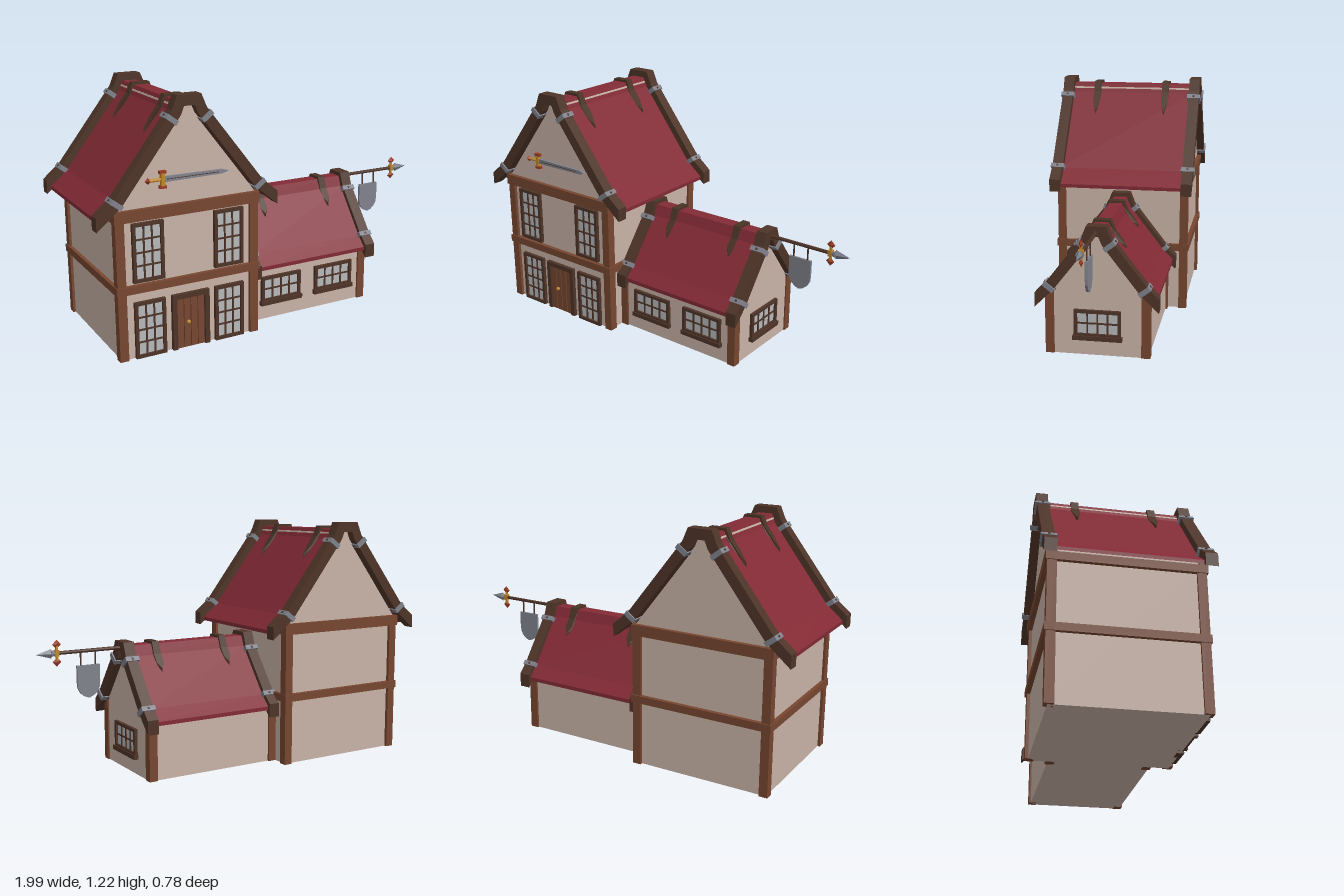
import * as THREE from 'three';

const mat = (color, side = THREE.FrontSide) =>
  new THREE.MeshStandardMaterial({ color, side, flatShading: true });
const WALL = mat(0xc8b2a6), ROOF = mat(0x822a35, THREE.DoubleSide), BEAM = mat(0x774630);
const DARK = mat(0x4e3428), STRAP = mat(0x4a3326, THREE.DoubleSide), METAL = mat(0x80828c);
const GLASS = mat(0xb6b8ba), GOLD = mat(0xc0882c), RED = mat(0x9a3a22);

function add(parent, name, geo, material, x = 0, y = 0, z = 0) {
  const m = new THREE.Mesh(geo, material);
  m.name = name;
  m.position.set(x, y, z);
  parent.add(m);
  return m;
}
const box = (parent, name, material, w, h, d, x, y, z) =>
  add(parent, name, new THREE.BoxGeometry(w, h, d), material, x, y, z);

// Extrusion of a polygon, centred on z
function prism(points, depth) {
  const shape = new THREE.Shape(points.map(p => new THREE.Vector2(p[0], p[1])));
  return new THREE.ExtrudeGeometry(shape, { depth, bevelEnabled: false }).translate(0, 0, -depth / 2);
}
const mirror = half => [...half.map(([x, y]) => [-x, y]).reverse(), ...half];
const lerp = (a, b, t) => [a[0] + (b[0] - a[0]) * t, a[1] + (b[1] - a[1]) * t];

// Move a left-to-right roof line inward by d, mitred at bends, cut vertically at the eaves
function inset(line, d) {
  const normal = (a, b) => {
    const l = Math.hypot(b[0] - a[0], b[1] - a[1]);
    return [(b[1] - a[1]) / l, -(b[0] - a[0]) / l];
  };
  return line.map((p, i) => {
    if (i === 0) return [p[0], p[1] + d / normal(p, line[1])[1]];
    if (i === line.length - 1) return [p[0], p[1] + d / normal(line[i - 1], p)[1]];
    const a = normal(line[i - 1], p), b = normal(p, line[i + 1]);
    const k = d / (1 + a[0] * b[0] + a[1] * b[1]);
    return [p[0] + (a[0] + b[0]) * k, p[1] + (a[1] + b[1]) * k];
  });
}
const band = (line, from, to, depth) =>
  prism([...inset(line, from), ...inset(line, to).reverse()], depth);

// Gabled block facing +z: walls, corner posts, roof, barge boards, clips and ridge straps
function house(name, o) {
  const g = new THREE.Group();
  g.name = name;
  const [A, B, C, D] = o.roof, line = mirror(o.roof);
  add(g, 'walls', prism(mirror([...o.gable].reverse()), o.front + o.back), WALL, 0, 0, (o.front - o.back) / 2);
  for (const s of [-1, 1])
    for (const z of o.postZ) box(g, 'cornerPost', BEAM, 0.043, o.postH, 0.043, s * o.postX, o.postH / 2, z);

  const panel = mirror([A, B, C, lerp(C, D, 0.74)]);
  add(g, 'roof', band(panel, o.drop, o.drop + 0.014, o.boardZ * 2 - 0.02), ROOF);

  const angle = Math.atan2(C[1] - B[1], C[0] - B[0]);
  for (const z of [-o.boardZ, o.boardZ]) {
    add(g, 'bargeBoard', band(line, 0, 0.05, 0.057), DARK, 0, 0, z);
    for (const t of [0.07, 1.02])
      for (const s of [-1, 1]) {
        const p = lerp(B, C, t);
        const clip = new THREE.Group();
        clip.name = 'boardClip';
        clip.position.set(s * (p[0] - 0.019), p[1] - 0.015, z);
        clip.rotation.z = s * angle;
        box(clip, 'clipBand', METAL, 0.024, 0.062, 0.072, 0, 0, 0);
        box(clip, 'clipRivet', DARK, 0.01, 0.068, 0.01, 0, 0, 0);
        g.add(clip);
      }
  }

  // Straps over the ridge, with pointed ends
  const tip = lerp(B, C, o.strapT), neck = lerp(B, C, o.strapT - 0.08);
  const strapLine = mirror([A, B, neck, tip]);
  for (const z of o.strapZ) {
    const geo = band(strapLine, o.drop - 0.012, o.drop + 0.004, 0.038);
    const pos = geo.attributes.position;
    for (let i = 0; i < pos.count; i++)
      if (Math.abs(pos.getX(i)) > tip[0] - 0.002) pos.setZ(i, 0);
    geo.computeVertexNormals();
    add(g, 'ridgeStrap', geo, STRAP, 0, 0, z);
  }
  return g;
}

// Framed window facing +z, standing on its own origin
function makeWindow(name, w, h, cols, rows, sill) {
  const g = new THREE.Group(), f = 0.016;
  g.name = name;
  box(g, 'glass', GLASS, w - f, h - f, 0.014, 0, h / 2, 0);
  for (const s of [-1, 1]) {
    box(g, 'frameSide', DARK, f, h, 0.036, s * (w - f) / 2, h / 2, 0);
    box(g, 'frameRail', DARK, w, f, 0.036, 0, h / 2 + s * (h - f) / 2, 0);
  }
  for (let i = 1; i < cols; i++)
    box(g, 'glazingBar', DARK, 0.008, h - f, 0.024, (w - 2 * f) * (i / cols - 0.5), h / 2, 0);
  for (let j = 1; j < rows; j++)
    box(g, 'glazingBar', DARK, w - f, 0.008, 0.024, 0, h / 2 + (h - 2 * f) * (j / rows - 0.5), 0);
  if (sill) box(g, 'sill', DARK, w + 0.012, 0.022, 0.05, 0, -0.005, 0);
  return g;
}
function place(parent, child, x, y, z, ry = 0) {
  child.position.set(x, y, z);
  child.rotation.y = ry;
  parent.add(child);
}

function makeDoor() {
  const g = new THREE.Group();
  g.name = 'door';
  box(g, 'doorBacking', DARK, 0.18, 0.27, 0.016, 0, 0.135, 0);
  for (const s of [-1, 1]) box(g, 'doorJamb', DARK, 0.024, 0.278, 0.04, s * 0.0845, 0.139, 0);
  box(g, 'doorLintel', DARK, 0.193, 0.024, 0.04, 0, 0.266, 0);
  for (let i = 0; i < 4; i++) box(g, 'doorPlank', BEAM, 0.032, 0.25, 0.024, (i - 1.5) * 0.0362, 0.127, 0);
  add(g, 'doorKnob', new THREE.SphereGeometry(0.01, 10, 8), GOLD, -0.017, 0.133, 0.022);
  return g;
}

function makeSword() {
  const g = new THREE.Group();
  g.name = 'wallSword';
  add(g, 'blade', prism([[0, -0.013], [0.29, -0.01], [0.325, 0], [0.29, 0.01], [0, 0.013]], 0.012), METAL);
  box(g, 'fuller', DARK, 0.26, 0.003, 0.015, 0.14, 0, 0);
  box(g, 'guard', GOLD, 0.018, 0.06, 0.022, -0.009, 0, 0);
  for (const s of [-1, 1]) box(g, 'guardTip', RED, 0.032, 0.014, 0.022, -0.009, s * 0.034, 0);
  add(g, 'grip', new THREE.CylinderGeometry(0.008, 0.008, 0.06, 8).rotateZ(Math.PI / 2), GOLD, -0.045, 0, 0);
  add(g, 'pommel', new THREE.OctahedronGeometry(0.016), RED, -0.079, 0, 0);
  return g;
}

// Spear-shaped pole with a hanging shield sign
function makeSign() {
  const g = new THREE.Group();
  g.name = 'hangingSign';
  add(g, 'pole', new THREE.CylinderGeometry(0.009, 0.009, 0.39, 8).rotateZ(Math.PI / 2), DARK, 0.725, 0.62, 0);
  add(g, 'spearHead', new THREE.ConeGeometry(0.023, 0.075, 4).rotateZ(-Math.PI / 2), METAL, 0.955, 0.62, 0).scale.z = 0.6;
  add(g, 'spearSocket', new THREE.CylinderGeometry(0.019, 0.01, 0.02, 8).rotateZ(-Math.PI / 2), METAL, 0.91, 0.62, 0);
  box(g, 'crossHub', GOLD, 0.02, 0.03, 0.024, 0.89, 0.62, 0);
  for (const s of [-1, 1]) {
    add(g, 'crossGem', new THREE.OctahedronGeometry(0.022), RED, 0.89, 0.62 + s * 0.042, 0).scale.z = 0.45;
    box(g, 'crossArm', GOLD, 0.01, 0.03, 0.012, 0.89, 0.62 + s * 0.024, 0);
    box(g, 'hanger', DARK, 0.006, 0.08, 0.006, 0.732 + s * 0.038, 0.582, 0);
  }
  const half = [[0.022, 0.398], [0.043, 0.415], [0.056, 0.44], [0.059, 0.47], [0.059, 0.55]];
  add(g, 'shield', prism([...mirror([[0.002, 0.39], ...half])], 0.012), METAL, 0.732, 0, 0);
  return g;
}

export function createModel() {
  const model = new THREE.Group();
  model.name = 'tavern';

  // Tall main house
  const main = house('mainHouse', {
    roof: [[0.059, 1.222], [0.086, 1.158], [0.373, 0.787], [0.457, 0.717]],
    gable: [[0.35, 0], [0.35, 0.725], [0.07, 1.09], [0.045, 1.17]].reverse(),
    front: 0.34, back: 0.34, postX: 0.3415, postZ: [-0.334, 0.334], postH: 0.7,
    boardZ: 0.352, drop: 0.034, strapZ: [-0.19, 0.19], strapT: 0.2,
  });
  for (const s of [-1, 1]) {
    box(main, 'middleBeam', BEAM, 0.736, 0.038, 0.04, 0, 0.345, s * 0.342);
    box(main, 'middleBeam', BEAM, 0.04, 0.038, 0.7, s * 0.348, 0.345, 0);
    box(main, 'upperBeam', BEAM, 0.736, 0.054, 0.04, 0, 0.695, s * 0.342);
    box(main, 'upperBeam', BEAM, 0.04, 0.04, 0.7, s * 0.348, 0.688, 0);
    place(main, makeWindow('upperWindow', 0.154, 0.283, 3, 4), s * 0.206, 0.374, 0.34);
    place(main, makeWindow('lowerWindow', 0.154, 0.278, 3, 4), s * 0.206, 0, 0.34);
  }
  place(main, makeDoor(), 0, 0, 0.34);
  place(main, makeSword(), -0.117, 0.843, 0.348);
  place(model, main, -0.543, 0, 0);

  // Low side wing, turned so its gable faces +x
  const wing = house('sideWing', {
    roof: [[0.047, 0.65], [0.071, 0.588], [0.245, 0.364], [0.298, 0.312]],
    gable: [[0.245, 0], [0.245, 0.308], [0.06, 0.545], [0.04, 0.605]].reverse(),
    front: 0.3375, back: 0.39, postX: 0.2335, postZ: [-0.3655, 0.323], postH: 0.32,
    boardZ: 0.3455, drop: 0.02, strapZ: [-0.19, 0.197], strapT: 0.26,
  });
  place(model, wing, 0.1925, 0, 0, Math.PI / 2);
  for (const x of [0.015, 0.334])
    place(model, makeWindow('wingWindow', 0.23, 0.135, 4, 2, true), x, 0.095, 0.243);
  place(model, makeWindow('endWindow', 0.228, 0.135, 4, 2, true), 0.528, 0.095, 0, Math.PI / 2);

  model.add(makeSign());
  return model;
}
